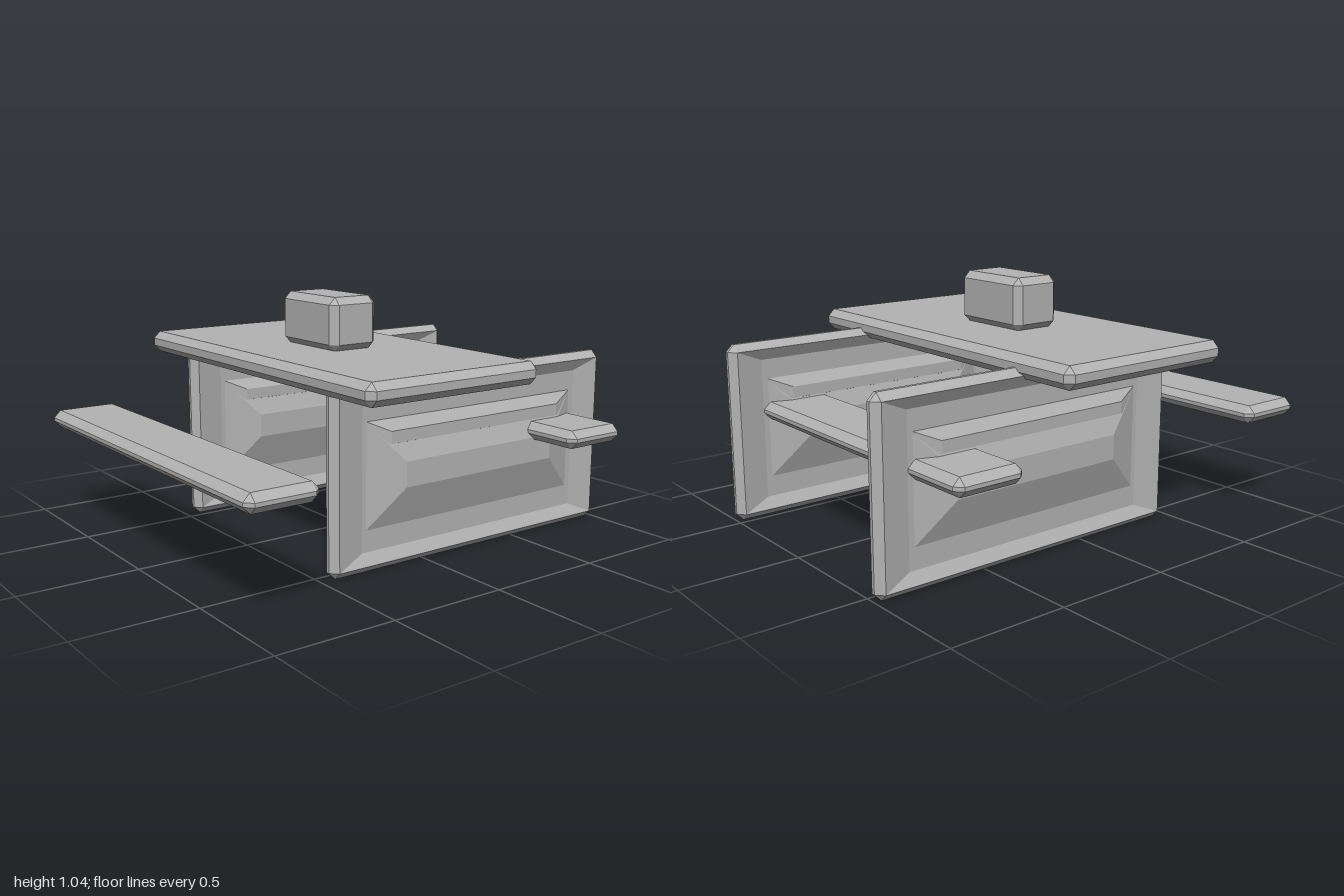
import * as THREE from 'three';
import { ConvexGeometry } from 'three/addons/geometries/ConvexGeometry.js';

const grey = new THREE.MeshStandardMaterial({ color: 0xb3b3b3, flatShading: true });
grey.name = 'plain grey';

// Box with every edge and corner cut, given by its bounds
function chamferedBox(name, [x0, x1], [y0, y1], [z0, z1], c) {
  const half = [(x1 - x0) / 2, (y1 - y0) / 2, (z1 - z0) / 2];
  const points = [];
  for (const sx of [-1, 1]) for (const sy of [-1, 1]) for (const sz of [-1, 1]) {
    for (let full = 0; full < 3; full++) {
      const p = half.map((h, axis) => (axis === full ? h : h - c));
      points.push(new THREE.Vector3(p[0] * sx, p[1] * sy, p[2] * sz));
    }
  }
  const mesh = new THREE.Mesh(new ConvexGeometry(points), grey);
  mesh.name = name;
  mesh.position.set((x0 + x1) / 2, (y0 + y1) / 2, (z0 + z1) / 2);
  return mesh;
}

// Solid through rectangular rings, ordered from +x to -x, with optional cut corners
function loft(rings) {
  const loops = rings.map(({ x, front, back, y0, y1, cut = 0 }) => [
    [y0, front - cut], [y0, back + cut], [y0 + cut, back], [y1 - cut, back],
    [y1, back + cut], [y1, front - cut], [y1 - cut, front], [y0 + cut, front],
  ].map(([y, z]) => new THREE.Vector3(x, y, z)));
  const pos = [];
  const tri = (a, b, c) => {
    if (new THREE.Triangle(a, b, c).getArea() > 1e-9) {
      for (const p of [a, b, c]) pos.push(p.x, p.y, p.z);
    }
  };
  for (let i = 0; i < loops.length - 1; i++) {
    for (let j = 0; j < 8; j++) {
      const k = (j + 1) % 8, p = loops[i], q = loops[i + 1];
      tri(p[j], q[j], q[k]);
      tri(p[j], q[k], p[k]);
    }
  }
  const first = loops[0], last = loops[loops.length - 1];
  for (let j = 1; j < 7; j++) {
    tri(first[0], first[j], first[j + 1]);
    tri(last[0], last[j + 1], last[j]);
  }
  const geometry = new THREE.BufferGeometry();
  geometry.setAttribute('position', new THREE.Float32BufferAttribute(pos, 3));
  geometry.computeVertexNormals();
  return geometry;
}

// Mirror a half list of rings to the far side of the panel
const bothSides = half => [...half, ...half.slice().reverse().map(r => ({ ...r, x: -r.x }))];

export function createModel() {
  const model = new THREE.Group();
  model.name = 'picnicTable';

  // Table top, benches and the block standing on the table
  const width = [-0.845, 0.845];
  model.add(
    chamferedBox('tableTop', width, [0.725, 0.818], [-0.347, 0.497], 0.03),
    chamferedBox('frontBench', width, [0.426, 0.502], [0.693, 1.0], 0.03),
    chamferedBox('backBench', width, [0.426, 0.502], [-0.847, -0.54], 0.03),
    chamferedBox('tableBlock', [-0.195, 0.195], [0.815, 1.04], [-0.04, 0.19], 0.03),
  );

  // Leg panel: raised centre, sunken field, frame, bevelled rim
  const panelGeometry = loft(bothSides([
    { x: 0.065, front: 0.13, back: -0.665, y0: 0.33, y1: 0.435 },
    { x: 0.012, front: 0.29, back: -0.825, y0: 0.17, y1: 0.595 },
    { x: 0.012, front: 0.31, back: -0.85, y0: 0.08, y1: 0.69 },
    { x: 0.038, front: 0.435, back: -0.97, y0: 0.03, y1: 0.74 },
    { x: 0.008, front: 0.465, back: -1.0, y0: 0, y1: 0.77, cut: 0.03 },
  ]));
  // Ledge along the top of the raised centre
  const ledgeGeometry = loft(bothSides([
    { x: 0.043, front: 0.19, back: -0.72, y0: 0.51, y1: 0.56 },
    { x: 0.012, front: 0.29, back: -0.825, y0: 0.5, y1: 0.605 },
  ]));

  for (const [side, x] of [['left', 0.54], ['right', -0.54]]) {
    const leg = new THREE.Group();
    leg.name = side + 'Leg';
    leg.position.x = x;
    const panel = new THREE.Mesh(panelGeometry, grey);
    panel.name = side + 'LegPanel';
    const ledge = new THREE.Mesh(ledgeGeometry, grey);
    ledge.name = side + 'LegLedge';
    leg.add(panel, ledge);
    model.add(leg);
  }
  return model;
}
